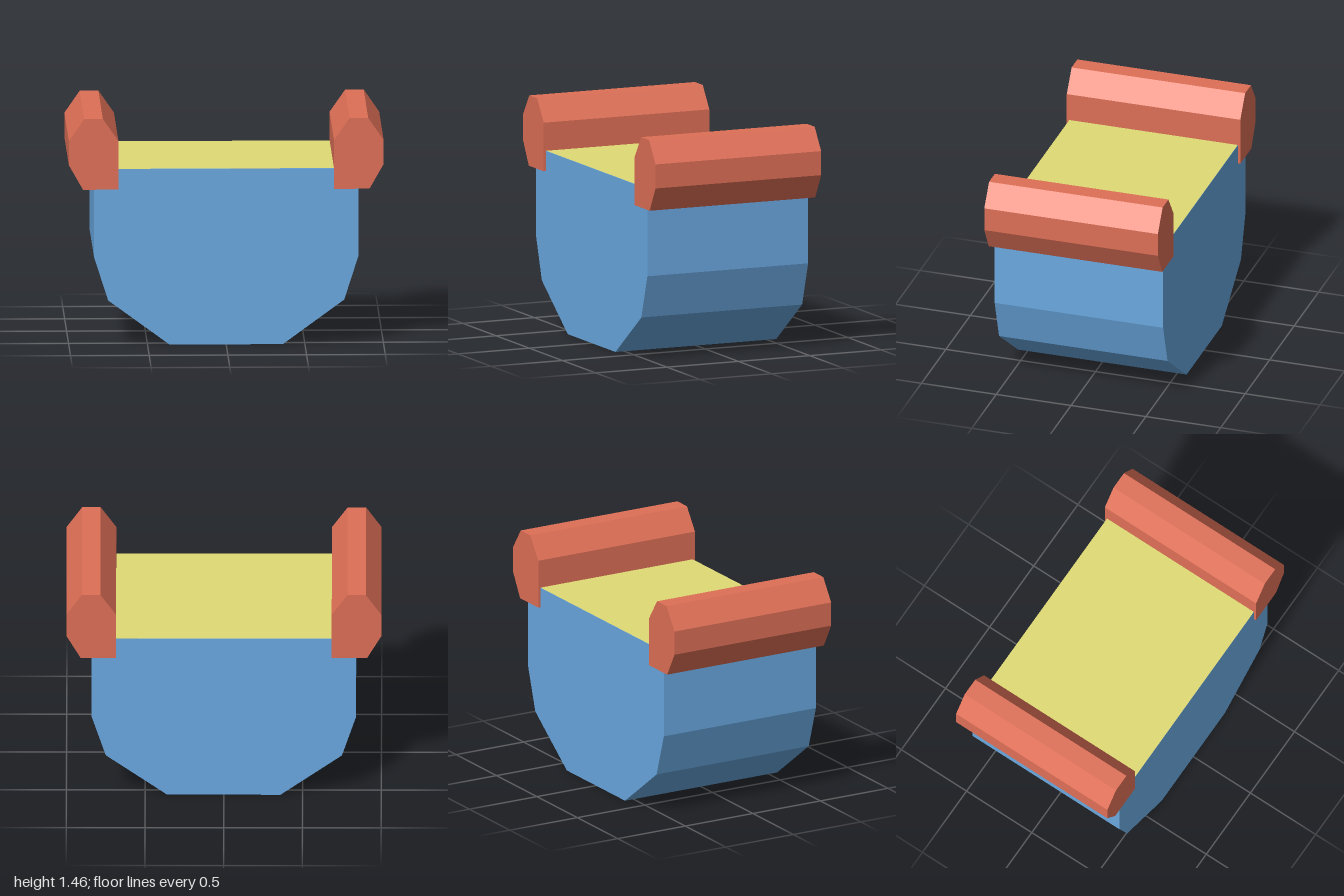
import * as THREE from 'three';

const paint = (name, color) => {
  const m = new THREE.MeshStandardMaterial({ color });
  m.name = name;
  return m;
};

// Extrudes an x/y outline along z, centred on z = 0
function prism(name, points, depth, material) {
  const shape = new THREE.Shape(points.map(([x, y]) => new THREE.Vector2(x, y)));
  const geometry = new THREE.ExtrudeGeometry(shape, { depth, bevelEnabled: false });
  geometry.translate(0, 0, -depth / 2);
  const mesh = new THREE.Mesh(geometry, material);
  mesh.name = name;
  return mesh;
}

export function createModel() {
  const blue = paint('blue', 0x69a8e0);
  const red = paint('red', 0xde6f56);
  const yellow = paint('yellow', 0xdfda73);
  const group = new THREE.Group();
  group.name = 'tub';

  // Hull: half outline from keel to top, mirrored
  const half = [[0.36, 0], [0.75, 0.285], [0.84, 0.565], [0.84, 1.129]];
  const mirrored = half.map(([x, y]) => [-x, y]).reverse();
  group.add(prism('hull', [...half, ...mirrored], 1.126, blue));

  // Flat top surface between the rails
  const top = new THREE.Mesh(new THREE.PlaneGeometry(1.68, 1.126).rotateX(-Math.PI / 2), yellow);
  top.name = 'topSurface';
  top.position.y = 1.131;
  group.add(top);

  // Faceted rails along both sides
  const rail = [
    [0.685, 1], [0.91, 1], [1, 1.158], [1, 1.313],
    [0.902, 1.455], [0.784, 1.455], [0.685, 1.313],
  ];
  for (const [name, side] of [['leftRail', 1], ['rightRail', -1]]) {
    group.add(prism(name, rail.map(([x, y]) => [side * x, y]), 1.16, red));
  }
  return group;
}
